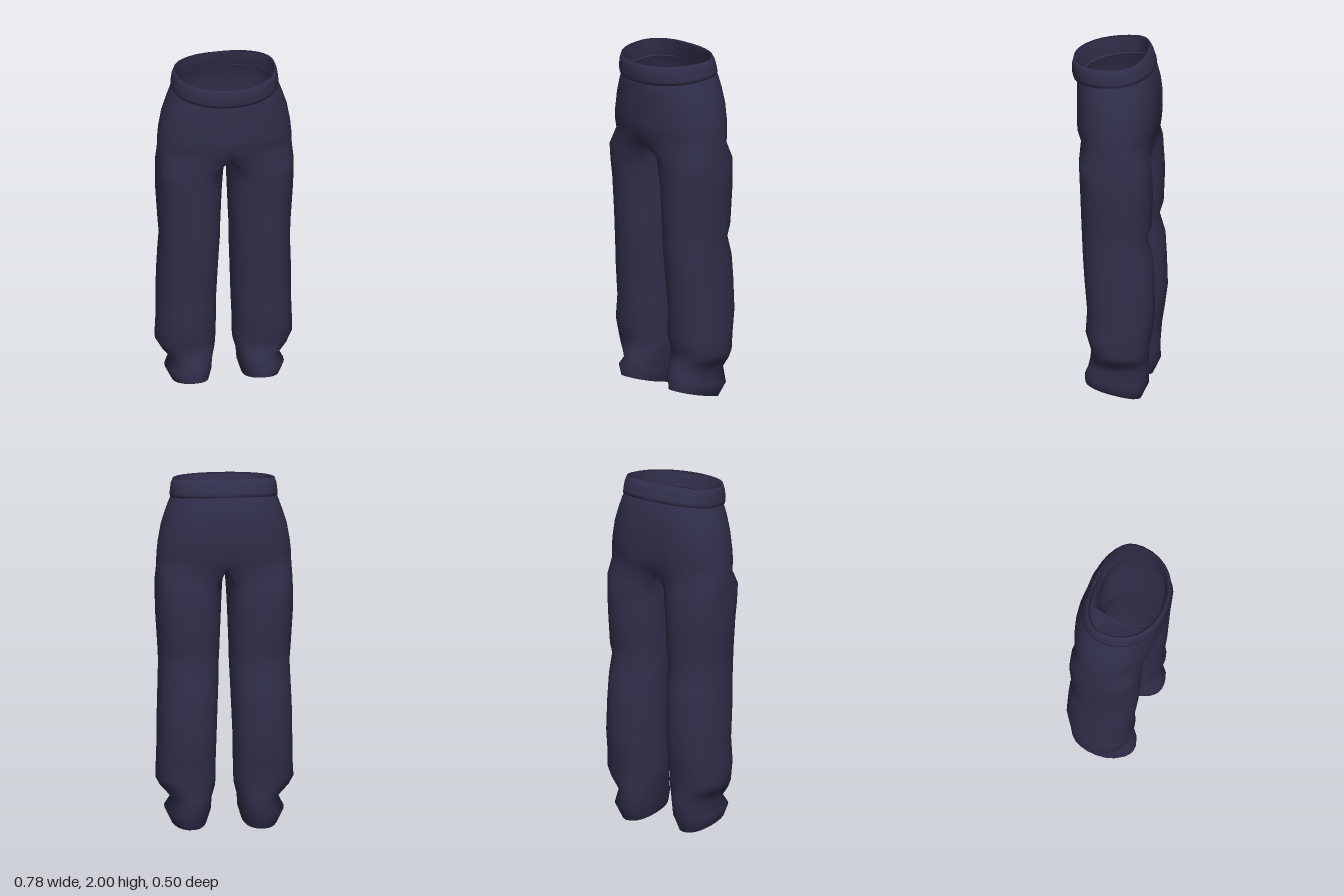
import * as THREE from 'three';
import { mergeVertices } from 'three/addons/utils/BufferGeometryUtils.js';

const OUTER = 16; // segments from centre front round the outside to centre back
const INNER = 8;  // segments along the inside of a leg
const RAD = Math.PI / 180;
const power = (v, n) => Math.sign(v) * Math.pow(Math.abs(v), 2 / n);

// Half ring round the hips, from centre front past the side to centre back
function hipRow([y, w, zf, zb, dip = 0, dent = 0]) {
  const row = [], zMid = -0.02;
  for (let j = 0; j <= OUTER; j++) {
    const a = Math.PI * j / OUTER, c = Math.cos(a);
    const n = c < 0 ? 2.4 : 2.1;
    const x = j === 0 || j === OUTER ? 0 : w * power(Math.sin(a), n);
    let z = zMid + (c > 0 ? zf - zMid : zMid - zb) * power(c, n);
    if (j === OUTER) z += dent;
    row.push([x, y - dip * c, z]);
  }
  return row;
}

// Full ring round one leg, starting at the inner front
function legRow([y, xin, xout, zf, zb, n = 2.2, tilt = 0]) {
  const row = [], cx = (xin + xout) / 2, cz = (zf + zb) / 2;
  for (let j = 0; j <= OUTER + INNER; j++) {
    const deg = j <= OUTER ? -40 + 260 * j / OUTER : 220 + 100 * (j - OUTER) / INNER;
    const s = Math.sin(deg * RAD), c = Math.cos(deg * RAD);
    row.push([cx + (xout - xin) / 2 * power(s, n), y + tilt * c, cz + (zf - zb) / 2 * power(c, n)]);
  }
  return row;
}

// Skin between rows listed from top to bottom, on one side of the body
function skin(out, rows, side) {
  const put = (p) => out.push(p[0] * side, p[1], p[2]);
  for (let i = 0; i < rows.length - 1; i++) {
    for (let j = 0; j < rows[i].length - 1; j++) {
      const a = rows[i][j], b = rows[i][j + 1], c = rows[i + 1][j], d = rows[i + 1][j + 1];
      (side > 0 ? [a, c, d, a, d, b] : [a, d, c, a, b, d]).forEach(put);
    }
  }
}

function smoothGeometry(positions) {
  const raw = new THREE.BufferGeometry();
  raw.setAttribute('position', new THREE.Float32BufferAttribute(positions, 3));
  const geometry = mergeVertices(raw, 1e-4);
  geometry.computeVertexNormals();
  return geometry;
}

export function createModel() {
  const group = new THREE.Group();
  const navyCloth = new THREE.MeshStandardMaterial({ color: 0x302f4b, side: THREE.DoubleSide });
  const add = (name, positions) => {
    const mesh = new THREE.Mesh(smoothGeometry(positions), navyCloth);
    mesh.name = name;
    group.add(mesh);
  };

  // Hips: y, half width, front z, back z, front dip, seat crease
  const hips = [
    [1.9, 0.29, 0.205, -0.2, 0.02],
    [1.86, 0.308, 0.218, -0.222, 0.01],
    [1.8, 0.33, 0.22, -0.238, 0, 0.005],
    [1.72, 0.356, 0.22, -0.246, 0, 0.01],
    [1.62, 0.374, 0.22, -0.246, 0, 0.015],
    [1.56, 0.38, 0.217, -0.24, 0, 0.02],
    [1.5, 0.382, 0.195, -0.23, 0, 0.025],
  ].map(hipRow);

  // Crotch: the last hip row closed by a sagging seam from back to front
  const crotch = [...hips[hips.length - 1]];
  const back = crotch[OUTER], front = crotch[0];
  for (let i = 1; i <= INNER; i++) {
    const t = i / INNER;
    crotch.push([0, 1.5 - 0.05 * Math.sin(Math.PI * t), back[2] + (front[2] - back[2]) * t]);
  }

  // Legs: y, inner x, outer x, front z, back z, squareness, tilt
  const legs = [crotch, ...[
    [1.41, 0.012, 0.386, 0.178, -0.222, 2.7],
    [1.32, 0.017, 0.388, 0.175, -0.228, 2.5],
    [1.22, 0.02, 0.388, 0.172, -0.236],
    [1.02, 0.028, 0.375, 0.165, -0.228],
    [0.95, 0.03, 0.371, 0.162, -0.206],
    [0.84, 0.034, 0.374, 0.157, -0.238],
    [0.7, 0.04, 0.38, 0.147, -0.245],
    [0.52, 0.047, 0.382, 0.131, -0.25],
    [0.39, 0.05, 0.385, 0.139, -0.232],
    [0.29, 0.05, 0.39, 0.107, -0.216],
    [0.24, 0.055, 0.362, 0.113, -0.214],
    [0.175, 0.073, 0.302, 0.13, -0.213],
    [0.11, 0.077, 0.336, 0.147, -0.213, 2.2, 0.025],
    [0.04, 0.1, 0.3, 0.145, -0.172, 2.2, 0.04],
  ].map(legRow)];

  // Waistband: from the inside, over the rim and down the outside
  const band = [
    [1.88, 0.285, 0.205, -0.195, 0.02],
    [1.972, 0.274, 0.222, -0.165, 0.018],
    [1.982, 0.287, 0.243, -0.178, 0.018],
    [1.95, 0.298, 0.25, -0.197, 0.019],
    [1.9, 0.304, 0.25, -0.213, 0.024],
    [1.88, 0.303, 0.242, -0.216, 0.026],
    [1.872, 0.288, 0.205, -0.2, 0.024],
  ].map(hipRow);

  const cloth = [], waist = [];
  for (const side of [1, -1]) {
    skin(cloth, hips, side);
    skin(cloth, legs, side);
    skin(waist, band, side);
  }
  add('trouserHipsAndLegs', cloth);
  add('waistband', waist);
  return group;
}
